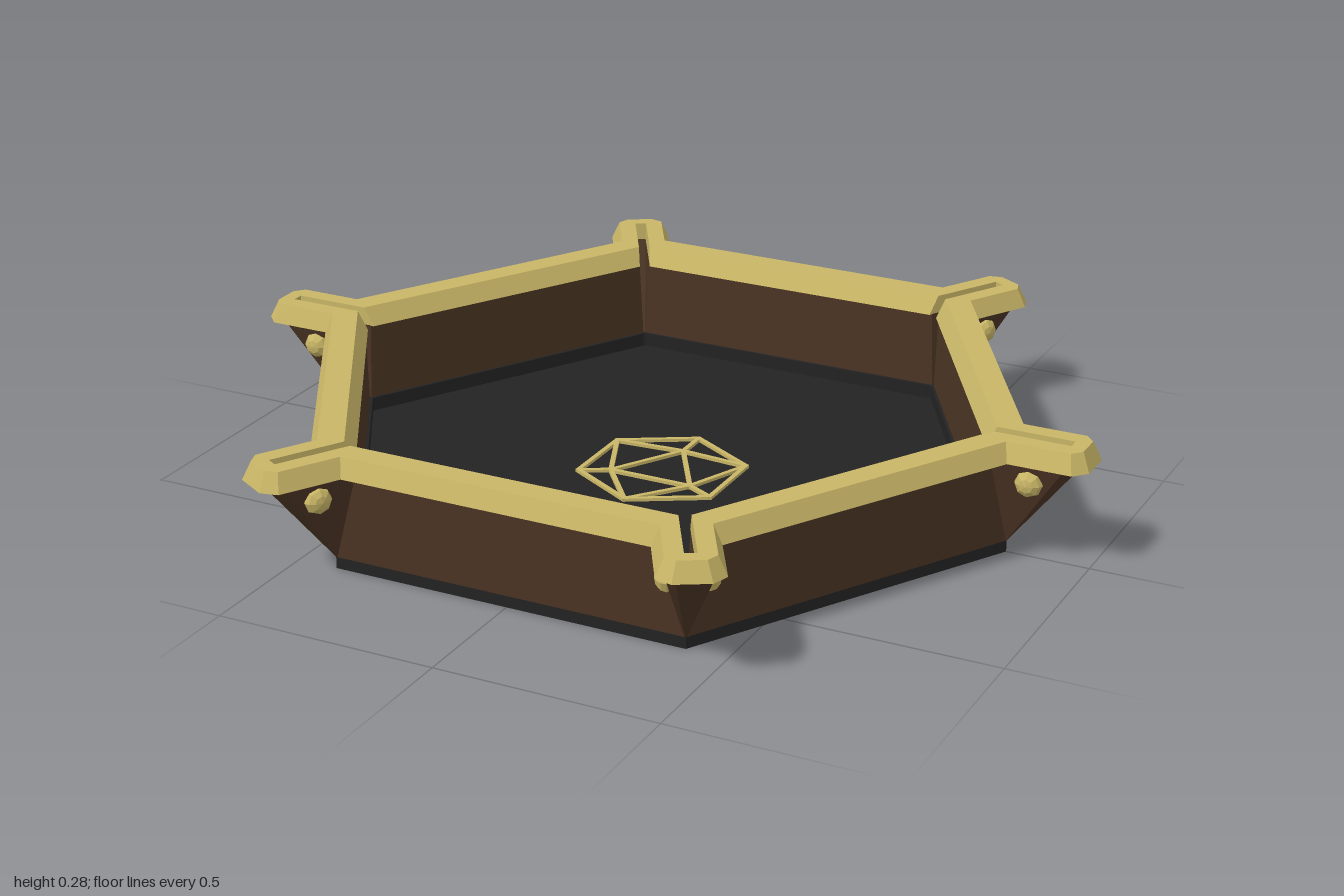
import * as THREE from 'three';

const COS30 = Math.cos(Math.PI / 6);

// Repeat half of a corner profile (radius, sideways) mirrored around all six corners.
function contour(half) {
  const corner = [...half.map(([r, t]) => [r, -t]), ...half.slice().reverse()];
  const points = [];
  for (let i = 0; i < 6; i++) {
    const a = i * Math.PI / 3, c = Math.cos(a), s = Math.sin(a);
    for (const [r, t] of corner) points.push([r * c - t * s, r * s + t * c]);
  }
  return points;
}

// Point where a line offset sideways by t meets the hexagon side at the given apothem.
const onSide = (apothem, t) => [(apothem - t / 2) / COS30, t];

// Side faces between a low and a high contour.
function band(low, high, y0, y1, inward) {
  const pos = [];
  const n = low.length;
  for (let i = 0; i < n; i++) {
    const j = (i + 1) % n;
    const b0 = [low[i][0], y0, low[i][1]], b1 = [low[j][0], y0, low[j][1]];
    const t0 = [high[i][0], y1, high[i][1]], t1 = [high[j][0], y1, high[j][1]];
    const quad = inward ? [b0, t1, t0, b0, b1, t1] : [b0, t0, t1, b0, t1, b1];
    pos.push(...quad.flat());
  }
  const geo = new THREE.BufferGeometry();
  geo.setAttribute('position', new THREE.Float32BufferAttribute(pos, 3));
  geo.computeVertexNormals();
  return geo;
}

// Flat ring between two contours, facing up (dir 1) or down (dir -1).
function cap(outer, inner, y, dir) {
  const vec = (p) => new THREE.Vector2(p[0], -dir * p[1]);
  const shape = new THREE.Shape(outer.map(vec));
  shape.holes.push(new THREE.Path(inner.map(vec)));
  return new THREE.ShapeGeometry(shape).rotateX(-dir * Math.PI / 2).translate(0, y, 0);
}

// Hollow part lofted from a low section to a high section.
function ringPart(name, material, low, high, y0, y1) {
  const [lo, li] = low.map(contour), [ho, hi] = high.map(contour);
  const group = new THREE.Group();
  group.name = name;
  const geos = [band(lo, ho, y0, y1, false), band(li, hi, y0, y1, true),
    cap(ho, hi, y1, 1), cap(lo, li, y0, -1)];
  ['Outside', 'Inside', 'Top', 'Bottom'].forEach((face, i) => {
    const mesh = new THREE.Mesh(geos[i], material);
    mesh.name = name + face;
    group.add(mesh);
  });
  return group;
}

export function createModel() {
  const model = new THREE.Group();
  model.name = 'hexagonalTray';
  const gold = new THREE.MeshStandardMaterial({ color: 0xc8b566, flatShading: true });
  gold.name = 'gold';
  const brown = new THREE.MeshStandardMaterial({ color: 0x4a3423, flatShading: true });
  brown.name = 'brown leather';
  const black = new THREE.MeshStandardMaterial({ color: 0x232323, flatShading: true });
  black.name = 'black felt';

  // Base slab
  const base = new THREE.Mesh(
    new THREE.CylinderGeometry(0.815, 0.815, 0.026, 6, 1, false, Math.PI / 6), black);
  base.name = 'base';
  base.position.y = 0.013;
  model.add(base);

  // Felt edge around the floor
  const lipSection = [[onSide(0.664, 0.004)], [onSide(0.654, 0.004)]];
  model.add(ringPart('feltEdge', black, lipSection, lipSection, 0.024, 0.058));

  // Walls with pinched corner flaps: flaps shrink to the base corner
  model.add(ringPart('walls', brown,
    [[onSide(0.706, 0.003), [0.8145, 0.002], [0.815, 0.001]],
      [onSide(0.66, 0.002), [0.795, 0.0015]]],
    [[onSide(0.71, 0.055), [0.95, 0.053], [0.975, 0.032]],
      [onSide(0.664, 0.012), [0.94, 0.012]]],
    0.026, 0.234));

  // Rim with slotted tabs, tapering towards the top
  model.add(ringPart('rim', gold,
    [[onSide(0.755, 0.07), [0.972, 0.07], [1.0, 0.04]],
      [onSide(0.658, 0.012), [0.95, 0.012]]],
    [[onSide(0.737, 0.052), [0.962, 0.052], [0.982, 0.03]],
      [onSide(0.68, 0.013), [0.95, 0.013]]],
    0.233, 0.275));

  // Rounded snaps on both sides of every flap
  const snapGeo = new THREE.SphereGeometry(0.031, 8, 6).rotateX(Math.PI / 2).scale(1, 1, 0.75);
  for (let i = 0; i < 6; i++) {
    const corner = new THREE.Group();
    corner.name = 'cornerSnaps';
    corner.rotation.y = i * Math.PI / 3;
    for (const side of [-1, 1]) {
      const snap = new THREE.Mesh(snapGeo, gold);
      snap.name = 'snap';
      snap.position.set(0.872, 0.187, side * 0.043);
      corner.add(snap);
    }
    model.add(corner);
  }

  // Line ornament of a faceted solid in the middle of the floor
  const ornament = new THREE.Group();
  ornament.name = 'floorOrnament';
  const line = (a, b) => {
    const dx = b[0] - a[0], dz = b[1] - a[1];
    const bar = new THREE.Mesh(
      new THREE.BoxGeometry(Math.hypot(dx, dz) + 0.008, 0.008, 0.011), gold);
    bar.name = 'ornamentLine';
    bar.position.set((a[0] + b[0]) / 2, 0.029, (a[1] + b[1]) / 2);
    bar.rotation.y = -Math.atan2(dz, dx);
    ornament.add(bar);
  };
  const top = [0, -0.185], bottom = [0, 0.185], peak = [0, -0.105];
  for (const s of [-1, 1]) {
    const high = [s * 0.162, -0.093], low = [s * 0.162, 0.093], foot = [s * 0.098, 0.06];
    [[top, high], [high, low], [low, bottom], [high, peak], [high, foot],
      [low, foot], [bottom, foot], [peak, foot]].forEach(([a, b]) => line(a, b));
  }
  line(top, peak);
  line([-0.098, 0.06], [0.098, 0.06]);
  model.add(ornament);

  return model;
}
